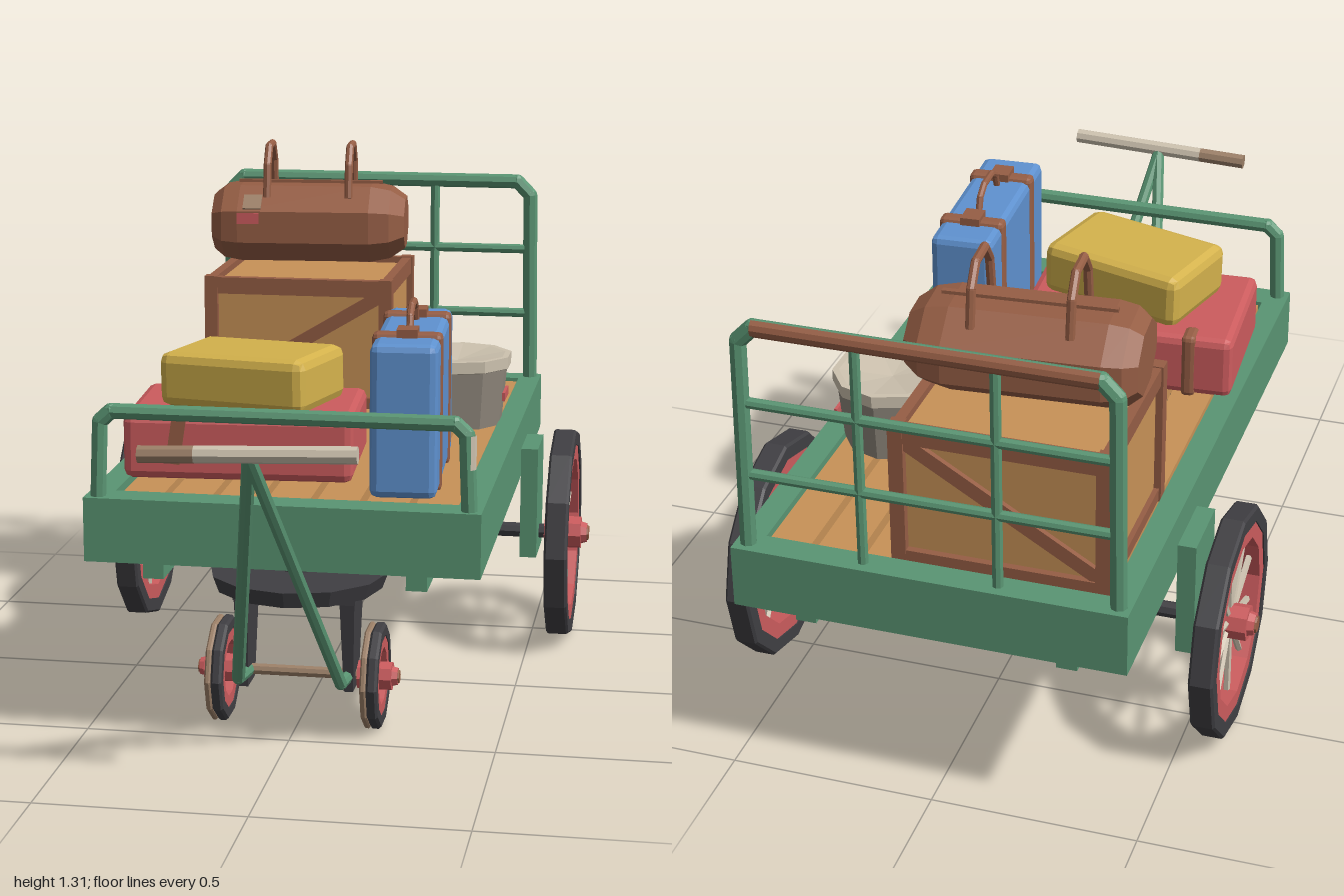
import * as THREE from 'three';
import { RoundedBoxGeometry } from 'three/addons/geometries/RoundedBoxGeometry.js';

const mat = (name, color) => {
  const m = new THREE.MeshStandardMaterial({ color, flatShading: true });
  m.name = name;
  return m;
};

export function createModel() {
  const green = mat('green paint', 0x5a9573), wood = mat('tan wood', 0xc89257);
  const brown = mat('brown leather', 0x965e45), red = mat('red', 0xcc5c5e);
  const blue = mat('blue', 0x5f92d0), yellow = mat('yellow', 0xd4b24c);
  const beige = mat('beige', 0xcdc2af), dark = mat('dark iron', 0x403f43);
  const grey = mat('worn grey', 0x8f877c), taupe = mat('worn taupe', 0x9c8068);

  const root = new THREE.Group();
  root.name = 'luggageCart';
  const group = (name, x = 0, y = 0, z = 0, ry = 0, parent = root) => {
    const g = new THREE.Group();
    g.name = name;
    g.position.set(x, y, z);
    g.rotation.y = ry;
    parent.add(g);
    return g;
  };
  const add = (parent, name, geo, m, x = 0, y = 0, z = 0) => {
    const mesh = new THREE.Mesh(geo, m);
    mesh.name = name;
    mesh.position.set(x, y, z);
    parent.add(mesh);
    return mesh;
  };
  const box = (p, name, m, w, h, d, x, y, z) => add(p, name, new THREE.BoxGeometry(w, h, d), m, x, y, z);
  const rounded = (p, name, m, w, h, d, r, x = 0, y = 0, z = 0) =>
    add(p, name, new RoundedBoxGeometry(w, h, d, 1, r), m, x, y, z);
  // straight round bar between two points
  const rod = (p, name, m, a, b, r, r2 = r, sides = 8) => {
    const A = new THREE.Vector3(...a), B = new THREE.Vector3(...b);
    const mesh = add(p, name, new THREE.CylinderGeometry(r2, r, A.distanceTo(B), sides), m);
    mesh.position.copy(A).add(B).multiplyScalar(0.5);
    mesh.quaternion.setFromUnitVectors(new THREE.Vector3(0, 1, 0), B.sub(A).normalize());
    return mesh;
  };
  // bent bar with filled joints
  const rail = (p, name, m, pts, r) => {
    for (let i = 1; i < pts.length; i++) {
      rod(p, name, m, pts[i - 1], pts[i], r);
      if (i > 1) add(p, name + 'Joint', new THREE.SphereGeometry(r, 8, 6), m, ...pts[i - 1]);
    }
  };
  const lathe = (pts, sides, start = 0) =>
    new THREE.LatheGeometry(pts.map(q => new THREE.Vector2(...q)), sides, start);

  // Bed: painted frame, planks and long bearers
  const bed = group('bed');
  for (const s of [-1, 1]) {
    box(bed, 'sideFrame', green, 0.06, 0.155, 1.61, s * 0.44, 0.5375, -0.195);
    box(bed, 'bearer', green, 0.05, 0.15, 1.51, s * 0.315, 0.485, -0.195);
  }
  box(bed, 'frontFrame', green, 0.82, 0.155, 0.08, 0, 0.5375, 0.57);
  box(bed, 'rearFrame', green, 0.82, 0.155, 0.07, 0, 0.5375, -0.965);
  for (let i = 0; i < 7; i++)
    box(bed, 'plank', wood, 0.1, 0.04, 1.46, -0.35 + i * 0.1175, 0.585, -0.2);

  // End rails
  const rails = group('endRails');
  rail(rails, 'frontRail', green, [[-0.44, 0.6, 0.582], [-0.432, 0.795, 0.582], [-0.405, 0.82, 0.582],
    [0.405, 0.82, 0.582], [0.432, 0.795, 0.582], [0.44, 0.6, 0.582]], 0.019);
  rail(rails, 'rearRail', green, [[-0.44, 0.6, -0.965], [-0.432, 1.14, -0.965], [-0.395, 1.178, -0.965],
    [0.395, 1.178, -0.965], [0.432, 1.14, -0.965], [0.44, 0.6, -0.965]], 0.02);
  for (const y of [0.8, 0.985]) rod(rails, 'rearCrossBar', green, [-0.43, y, -0.965], [0.43, y, -0.965], 0.013);
  for (const x of [-0.16, 0.16]) rod(rails, 'rearUpright', green, [x, 0.6, -0.965], [x, 1.178, -0.965], 0.013);

  // Worn paint: thin shells over part of a bar
  const shell = (name, m, r, len, from, sweep, x, y, z) => add(rails, name,
    new THREE.CylinderGeometry(r, r, len, 4, 1, true, from, sweep), m, x, y, z);
  shell('rearRailWear', brown, 0.022, 0.79, Math.PI * 0.6, Math.PI * 0.75, 0, 1.178, -0.965).rotation.z = Math.PI / 2;
  shell('frontPostWear', beige, 0.021, 0.08, Math.PI * 0.15, Math.PI * 0.7, 0.4335, 0.755, 0.582);

  // Spoked wheel with its axle along x; the tire is a dark band plus an optional worn band on one side
  const wheel = (name, x, y, z, R, w, rimIn, tireIn, hubR, hubOut, spokes, sides, worn) => {
    const g = group(name, x, y, z);
    const ring = (ri, ro, a, b, c = 0) => lathe([[ri, a], [ro - c, a], [ro, a + c], [ro, b - c], [ro - c, b],
      [ri, b], [ri, a]], sides).rotateZ(-Math.PI / 2);
    add(g, 'tire', ring(tireIn, R, worn - w / 2, w / 2, 0.006), dark);
    if (worn) add(g, 'wornTireSide', ring(tireIn, R, -w / 2, worn - w / 2, 0.004), taupe);
    add(g, 'rim', ring(rimIn, tireIn, -w * 0.44, w * 0.44), red);
    for (let i = 0; i < spokes; i++) {
      const a = (i / spokes) * Math.PI * 2, c = Math.cos(a), s = Math.sin(a);
      rod(g, 'spoke', beige, [0, c * hubR * 0.7, s * hubR * 0.7], [0, c * rimIn * 1.03, s * rimIn * 1.03],
        R * 0.03, R * 0.03, 5);
    }
    const d = Math.sign(x);
    rod(g, 'hub', red, [-d * hubOut * 0.7, 0, 0], [d * hubOut * 0.7, 0, 0], hubR, hubR, 8);
    rod(g, 'hubCap', red, [d * hubOut * 0.6, 0, 0], [d * hubOut * 0.93, 0, 0], hubR * 0.75, hubR * 0.6, 8);
    rod(g, 'hubTip', brown, [d * hubOut * 0.9, 0, 0], [d * hubOut, 0, 0], hubR * 0.5, hubR * 0.45, 8);
  };
  for (const s of [-1, 1]) {
    wheel('rearWheel', s * 0.58, 0.287, -0.48, 0.285, 0.06, 0.205, 0.245, 0.044, 0.07, 10, 12, 0);
    wheel('frontWheel', s * 0.19, 0.132, 0.36, 0.13, 0.042, 0.07, 0.1, 0.036, 0.06, 8, 10, 0.015);
    box(root, 'axleHanger', green, 0.045, 0.3, 0.18, s * 0.4925, 0.385, -0.48);
  }

  // Rear axle
  rod(root, 'rearAxle', dark, [-0.56, 0.287, -0.48], [0.56, 0.287, -0.48], 0.02);
  box(root, 'axleBeam', green, 0.67, 0.085, 0.09, 0, 0.297, -0.48);

  // Swivelling front bogie
  const bogie = group('frontBogie');
  box(bogie, 'bolster', dark, 0.56, 0.05, 0.08, 0, 0.435, 0.36);
  add(bogie, 'kingPin', new THREE.CylinderGeometry(0.04, 0.04, 0.04, 8), dark, 0, 0.4, 0.36);
  add(bogie, 'turntable', new THREE.CylinderGeometry(0.22, 0.205, 0.04, 12), dark, 0, 0.373, 0.355);
  box(bogie, 'forkCrown', dark, 0.3, 0.03, 0.15, 0, 0.343, 0.36);
  for (const s of [-1, 1]) {
    const leg = add(bogie, 'forkLeg', new THREE.CylinderGeometry(0.1, 0.062, 0.24, 4, 1).rotateY(Math.PI / 4),
      dark, s * 0.13, 0.22, 0.36);
    leg.scale.x = 0.26;
  }
  rod(bogie, 'frontAxle', taupe, [-0.2, 0.132, 0.36], [0.2, 0.132, 0.36], 0.014);

  // Pull handle, its grip worn at one end
  const pull = group('pullHandle');
  for (const s of [-1, 1])
    rail(pull, 'drawbar', green, [[s * 0.125, 0.132, 0.37], [s * 0.125, 0.15, 0.49], [0, 0.815, 0.965]], 0.016);
  rod(pull, 'gripWornEnd', taupe, [-0.245, 0.815, 0.972], [-0.12, 0.8194, 0.972], 0.02);
  rod(pull, 'grip', beige, [-0.12, 0.8194, 0.972], [0.24, 0.832, 0.972], 0.02);

  // Wooden crate with a brown frame
  const crate = group('crate', -0.152, 0.605, -0.7);
  box(crate, 'crateBody', wood, 0.48, 0.33, 0.42, 0, 0.175, 0);
  for (const s of [-1, 1]) {
    for (const t of [-1, 1]) box(crate, 'cornerPost', brown, 0.035, 0.36, 0.035, s * 0.24, 0.18, t * 0.212);
    for (const y of [0.02, 0.335]) {
      const h = y > 0.1 ? 0.045 : 0.03;
      box(crate, 'longSlat', brown, 0.5, h, 0.025, 0, y, s * 0.215);
      box(crate, 'shortSlat', brown, 0.025, h, 0.42, s * 0.24, y, 0);
    }
    const brace = box(crate, 'diagonalBrace', brown, 0.54, 0.035, 0.018, 0, 0.18, s * 0.214);
    brace.rotation.z = 0.54;
  }

  // Arched carrying handle lying in the xy plane
  const arch = (p, name, w, h, r) => {
    const g = group(name, 0, 0, 0, 0, p);
    rail(g, name + 'Bar', brown, [[-w / 2, 0, 0], [-w * 0.42, h * 0.65, 0], [-w * 0.2, h, 0],
      [w * 0.2, h, 0], [w * 0.42, h * 0.65, 0], [w / 2, 0, 0]], r);
    return g;
  };

  // Duffel bag with small patches
  const duffel = group('duffelBag', -0.155, 1.09, -0.705, 0.07);
  const k = 1 / Math.cos(Math.PI / 8);
  const bagGeo = lathe([[0, -0.265], [0.72 * k, -0.265], [0.93 * k, -0.235], [k, -0.19],
    [k, 0.17], [0.9 * k, 0.225], [0.65 * k, 0.265], [0, 0.265]], 8, Math.PI / 8);
  add(duffel, 'bag', bagGeo.rotateZ(-Math.PI / 2).scale(1, 0.104, 0.145), brown);
  box(duffel, 'zip', brown, 0.4, 0.008, 0.014, 0, 0.11, 0);
  box(duffel, 'redPatch', red, 0.06, 0.03, 0.006, -0.16, 0.024, 0.144);
  const patch = box(duffel, 'beigePatch', taupe, 0.05, 0.055, 0.006, -0.15, 0.065, 0.116);
  patch.rotation.x = -0.95;
  for (const x of [-0.112, 0.112]) {
    const h = arch(duffel, 'bagHandle', 0.19, 0.135, 0.011);
    h.position.set(x, 0.075, 0);
    h.rotation.y = Math.PI / 2;
  }

  // Red suitcase lying flat, with strap tabs
  const redCase = group('redSuitcase', -0.16, 0.688, 0.18, 0.06);
  rounded(redCase, 'caseBody', red, 0.56, 0.16, 0.385, 0.02);
  for (const x of [-0.17, 0.18]) rounded(redCase, 'strapTab', brown, 0.038, 0.168, 0.07, 0.012, x, 0, -0.162);
  box(redCase, 'frontTab', brown, 0.035, 0.11, 0.01, -0.15, 0.015, 0.191).rotation.z = -0.15;
  const redHandle = arch(redCase, 'caseHandle', 0.17, 0.055, 0.009);
  redHandle.position.z = -0.19;
  redHandle.rotation.x = -Math.PI / 2;

  // Yellow suitcase on top
  const yellowCase = group('yellowSuitcase', -0.142, 0.838, 0.205, -0.26);
  rounded(yellowCase, 'caseBody', yellow, 0.39, 0.135, 0.265, 0.025).rotation.z = 0.02;

  // Blue suitcase standing upright
  const blueCase = group('blueSuitcase', 0.255, 0.79, 0.212, 0.05);
  rounded(blueCase, 'caseBody', blue, 0.16, 0.37, 0.51, 0.018);
  for (const z of [-0.14, 0.135]) {
    rounded(blueCase, 'strap', brown, 0.168, 0.385, 0.046, 0.012, 0, 0.002, z);
    box(blueCase, 'buckle', brown, 0.05, 0.02, 0.06, 0, 0.195, z);
  }
  const blueHandle = arch(blueCase, 'caseHandle', 0.17, 0.055, 0.009);
  blueHandle.position.y = 0.185;
  blueHandle.rotation.y = Math.PI / 2;

  // Bucket with a pale rim and filling
  const bucket = group('bucket', 0.295, 0.605, -0.4);
  add(bucket, 'bucketBody', lathe([[0, 0], [0.122, 0], [0.137, 0.16], [0, 0.16]], 10), grey);
  add(bucket, 'bucketRim', lathe([[0.133, 0.15], [0.146, 0.155], [0.146, 0.185], [0.13, 0.185], [0, 0.165]], 10), beige);
  box(bucket, 'redSmear', red, 0.008, 0.022, 0.1, 0.127, 0.075, -0.015);

  return root;
}
